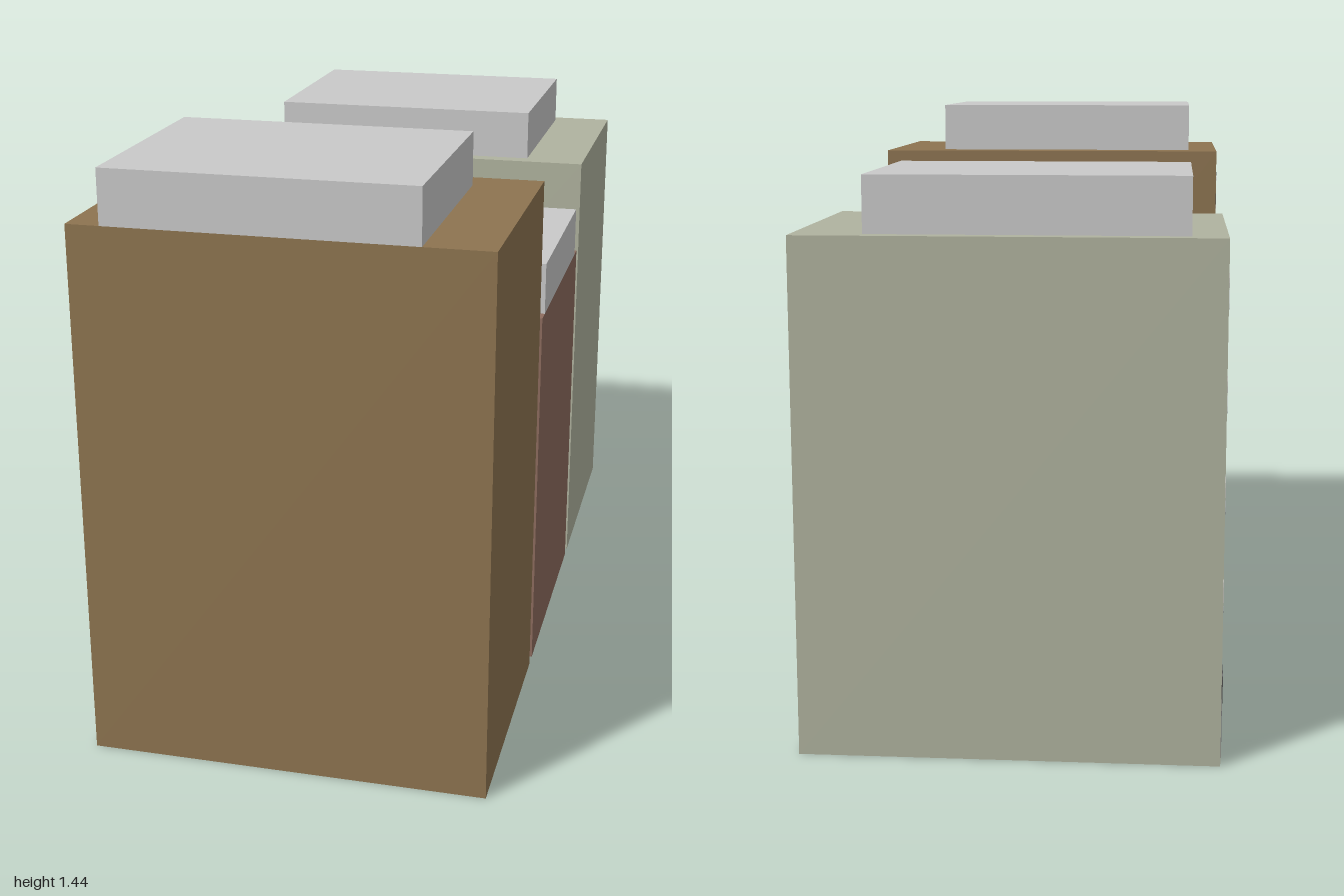
import * as THREE from 'three';

const WALL_X = -0.48;

function material(name, color) {
  const m = new THREE.MeshStandardMaterial({ color, side: THREE.DoubleSide });
  m.name = name;
  return m;
}

// Box standing on y0 with its underside left open
function openBox(name, mat, x0, x1, y0, y1, z0, z1) {
  const geo = new THREE.BoxGeometry(x1 - x0, y1 - y0, z1 - z0);
  const index = Array.from(geo.index.array);
  index.splice(18, 6);
  geo.setIndex(index);
  geo.clearGroups();
  const mesh = new THREE.Mesh(geo, mat);
  mesh.name = name;
  mesh.position.set((x0 + x1) / 2, (y0 + y1) / 2, (z0 + z1) / 2);
  return mesh;
}

// Thin rounded plate set through the street wall, so it shows on both sides
function plate(name, mat, z0, z1, y0, y1, r = 0.012, depth = 0.006) {
  const s = new THREE.Shape();
  s.moveTo(z0 + r, y0);
  s.lineTo(z1 - r, y0);
  s.quadraticCurveTo(z1, y0, z1, y0 + r);
  s.lineTo(z1, y1 - r);
  s.quadraticCurveTo(z1, y1, z1 - r, y1);
  s.lineTo(z0 + r, y1);
  s.quadraticCurveTo(z0, y1, z0, y1 - r);
  s.lineTo(z0, y0 + r);
  s.quadraticCurveTo(z0, y0, z0 + r, y0);
  const geo = new THREE.ExtrudeGeometry(s, { depth, bevelEnabled: false, curveSegments: 3 });
  geo.rotateY(-Math.PI / 2);
  geo.translate(WALL_X + depth / 2, 0, 0);
  const mesh = new THREE.Mesh(geo, mat);
  mesh.name = name;
  return mesh;
}

export function createModel() {
  const model = new THREE.Group();
  model.name = 'buildingRow';
  const tan = material('tanWall', 0x8d7450);
  const brick = material('brickWall', 0x8d6c5e);
  const sage = material('sageWall', 0xb0b39f);
  const pale = material('paleGrey', 0xc9c9c9);
  const dark = material('darkGrey', 0x4d4d4d);
  const mid = material('midGrey', 0x7a7a7a);

  // Walls and rooftop block; returns a helper that paints the street side
  function building(name, wall, height, z0, roof) {
    const g = new THREE.Group();
    g.name = name;
    g.add(openBox('walls', wall, -0.48, 0.48, 0, height, z0, z0 + 0.64));
    g.add(openBox('rooftopBlock', pale, roof[0], roof[1], height, height + 0.13, roof[2], roof[3]));
    model.add(g);
    // u runs 0..1 along the wall
    return (part, mat, u0, u1, y0, y1, r, depth) =>
      g.add(plate(part, mat, z0 + u0 * 0.64, z0 + u1 * 0.64, y0, y1, r, depth));
  }

  // Sage building: four rows of joined windows over a wide shopfront
  let paint = building('sageBuilding', sage, 1.19, -1, [-0.4, 0.32, -0.96, -0.4]);
  for (let row = 0; row < 4; row++) {
    const y = 0.33 + row * 0.23;
    paint('windowBand', pale, 0.14, 0.9, y + 0.014, y + 0.072);
    for (let i = 0; i < 4; i++) {
      const u = 0.12 + i * 0.205;
      paint('window', pale, u, u + 0.175, y, y + 0.085, 0.02, 0.007);
    }
  }
  paint('shopfront', mid, 0.08, 0.99, 0, 0.14, 0.002);
  paint('awning', dark, 0.08, 0.96, 0.125, 0.2, 0.015, 0.008);

  // Brick building: two columns of windows, door in the middle
  paint = building('brickBuilding', brick, 0.95, -0.32, [-0.24, 0.48, -0.28, 0.28]);
  for (let row = 0; row < 3; row++) {
    const y = 0.36 + row * 0.22;
    for (const u of [0.16, 0.64]) paint('window', pale, u, u + 0.25, y, y + 0.1, 0.018);
  }
  paint('awning', dark, 0.09, 0.92, 0.135, 0.21, 0.015);
  for (const [u0, u1, y0] of [[0.2, 0.3, 0.05], [0.28, 0.42, 0], [0.6, 0.74, 0], [0.8, 0.89, 0.04]])
    paint('shopfrontPier', dark, u0, u1, y0, 0.16, 0.006);
  paint('doorFrame', mid, 0.4, 0.63, 0, 0.135, 0.008, 0.007);
  paint('door', pale, 0.44, 0.61, 0, 0.115, 0.008, 0.009);

  // Tan building: three wide framed windows, two doors
  paint = building('tanBuilding', tan, 1.31, 0.36, [-0.4, 0.32, 0.44, 1]);
  for (let row = 0; row < 3; row++) {
    const y = 0.61 + row * 0.255;
    paint('windowFrame', dark, 0.16, 0.9, y + 0.005, y + 0.125);
    paint('window', pale, 0.21, 0.86, y, y + 0.115, 0.015, 0.008);
  }
  paint('awning', dark, 0.09, 0.93, 0.13, 0.21, 0.015);
  paint('shopfrontPier', dark, 0.27, 0.62, 0, 0.16, 0.004);
  paint('shopfrontPier', dark, 0.86, 0.92, 0, 0.16, 0.004);
  for (const [u0, u1] of [[0.13, 0.29], [0.59, 0.87]]) {
    paint('doorFrame', mid, u0, u1, 0, 0.14, 0.012, 0.007);
    paint('door', pale, u0 + 0.03, u1 - 0.03, 0, 0.115, 0.01, 0.009);
  }
  return model;
}
